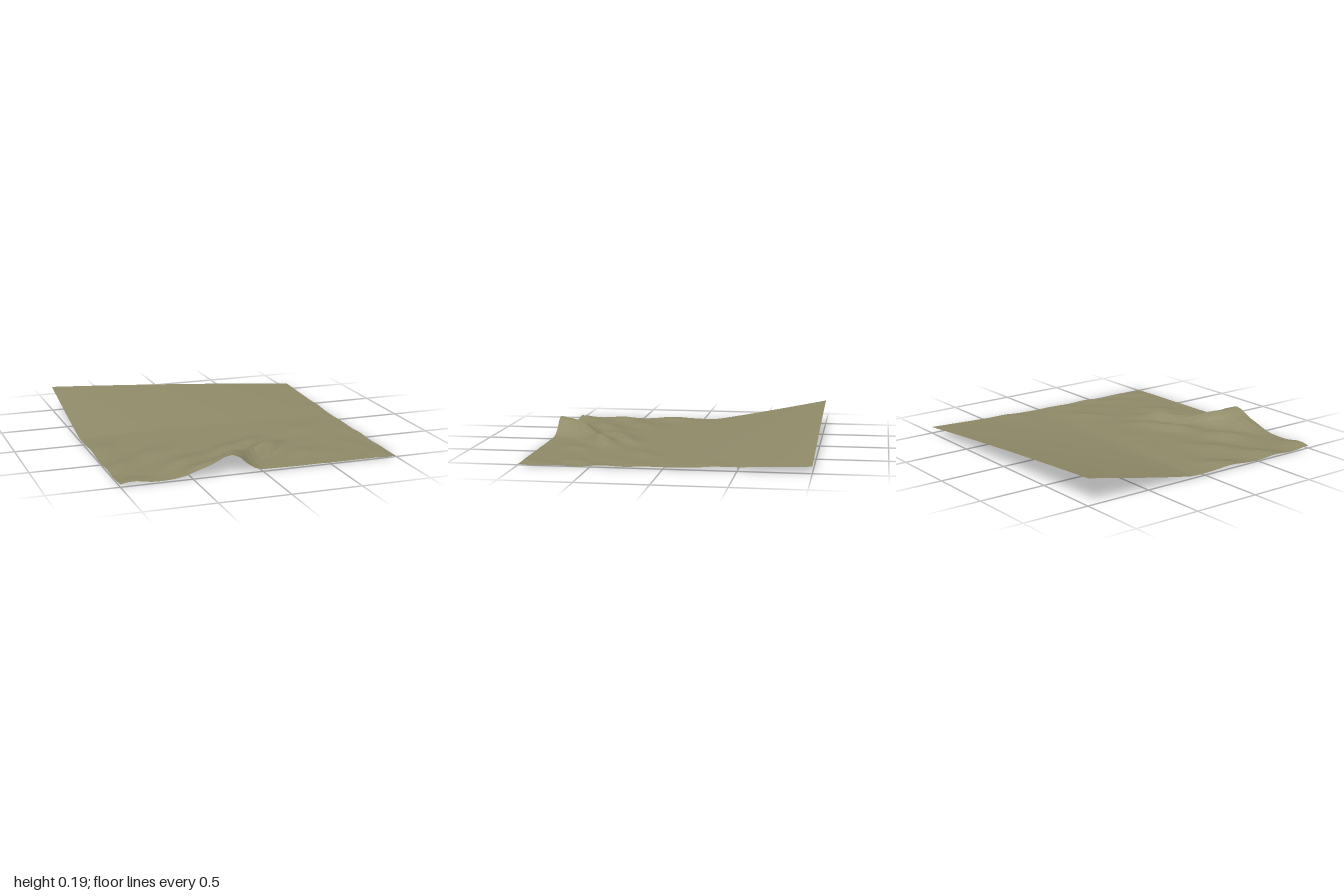
import * as THREE from 'three';

// Dune crests: x, z, height, length, width, direction (radians, from +x toward +z)
const crests = [
  [-0.23, 1.02, 0.128, 0.24, 0.13, 2.1],
  [-0.42, 0.92, 0.045, 0.14, 0.1, 2.4],
  [-0.1, 0.78, 0.055, 0.16, 0.07, 2.5],
  [0.18, 0.6, 0.066, 0.17, 0.08, 2.6],
  [-0.1, 0.52, 0.032, 0.16, 0.07, 2.5],
  [0.12, 0.41, 0.028, 0.15, 0.06, 2.5],
  [-0.45, 0.68, 0.034, 0.2, 0.08, 2.5],
  [-0.62, 0.45, 0.02, 0.2, 0.09, 2.5],
  [-0.92, 0.22, 0.022, 0.15, 0.09, 2.3],
  [-0.9, 0.62, 0.022, 0.14, 0.08, 2.4],
  [-0.9, 0.98, 0.026, 0.12, 0.08, 2.8],
  [0.6, 0.2, 0.014, 0.16, 0.07, 2.4],
  [0.93, -0.3, 0.009, 0.14, 0.07, 2.4],
  [0.42, 0.72, 0.018, 0.12, 0.08, 2.4],
];

const smooth = (a, b, v) => THREE.MathUtils.smoothstep(v, a, b);

function heightAt(x, z) {
  // Broad floor and the even slope rising to the back left
  let y = 0.022 - 0.009 * smooth(0, 0.6, z) + 0.008 * (1 - x * x);
  const t = Math.max(0, (-z - 0.1) / 0.9);
  const rise = Math.pow(t, 1.08);
  y += rise * (0.104 - 0.071 * x);
  // Crests fall off faster on the sheltered side
  for (const [cx, cz, h, length, width, angle] of crests) {
    const dx = x - cx, dz = z - cz, c = Math.cos(angle), s = Math.sin(angle);
    const u = (dx * c + dz * s) / length;
    const v = -dx * s + dz * c;
    const w = v / (width * (v < 0 ? 0.8 : 1.2));
    y += h * Math.exp(-u * u - w * w);
  }
  // Fine ripples, strongest toward the front left
  const rough = smooth(-0.2, 0.5, z) * (0.25 + 0.75 * smooth(0.8, 0, x));
  const ripple = Math.sin(11 * x + 19 * z + 2 * Math.sin(7 * x)) + 0.6 * Math.sin(23 * x - 9 * z + 1);
  return y + rough * 0.0042 * ripple;
}

export function createModel() {
  const group = new THREE.Group();
  const geometry = new THREE.PlaneGeometry(2, 2, 36, 36).rotateX(-Math.PI / 2);
  const p = geometry.attributes.position;
  for (let i = 0; i < p.count; i++) p.setY(i, heightAt(p.getX(i), p.getZ(i)));
  geometry.computeBoundingBox();
  geometry.translate(0, -geometry.boundingBox.min.y, 0);
  geometry.computeVertexNormals();

  const material = new THREE.MeshStandardMaterial({
    color: 0x8f8a68, flatShading: true, side: THREE.DoubleSide,
  });
  const terrain = new THREE.Mesh(geometry, material);
  terrain.name = 'terrain';
  group.add(terrain);
  return group;
}
